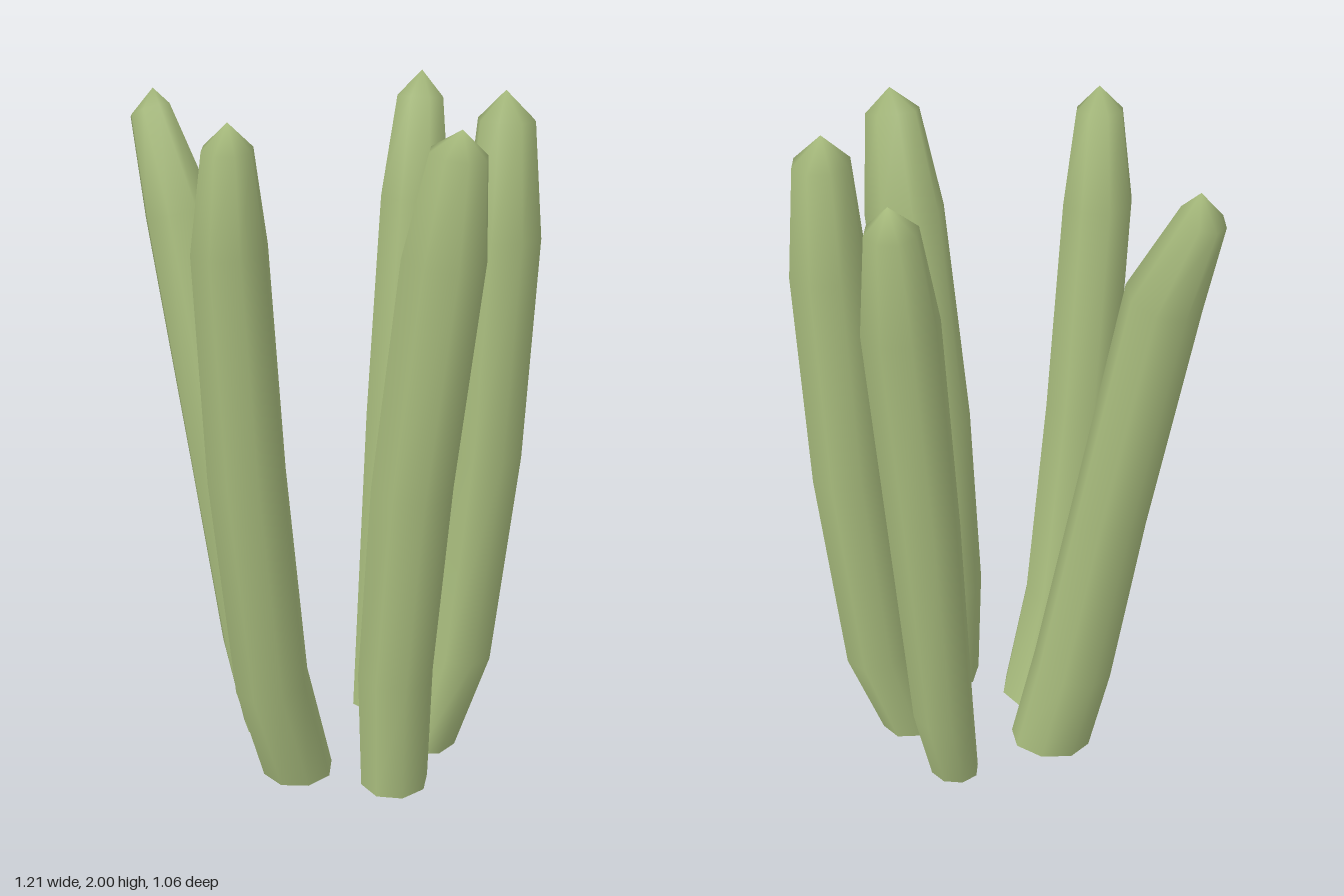
import * as THREE from 'three';

const SIDES = 8;

// Each stalk: rings of [y, x, z, radiusX, radiusZ] from base to shoulder, then the tip point
const STALKS = [
  { name: 'leaningStalk', phase: 0, tip: [1.96, -0.535, -0.13], rings: [
    [0, -0.135, -0.03, 0.125, 0.1], [0.3, -0.2, -0.02, 0.12, 0.11], [0.88, -0.3, -0.02, 0.11, 0.105],
    [1.62, -0.44, -0.065, 0.105, 0.1], [1.895, -0.545, -0.13, 0.06, 0.056]] },
  { name: 'frontStalk', phase: 0.2, tip: [1.99, -0.13, 0.45], rings: [
    [0, -0.02, 0.205, 0.105, 0.115], [0.34, -0.07, 0.305, 0.107, 0.115], [1, -0.115, 0.375, 0.112, 0.112],
    [1.65, -0.14, 0.42, 0.105, 0.11], [1.92, -0.133, 0.445, 0.07, 0.07]] },
  { name: 'backStalk', phase: 0.2, tip: [1.985, 0.18, -0.48], rings: [
    [0, 0.11, -0.255, 0.075, 0.068], [0.28, 0.125, -0.31, 0.092, 0.092], [0.95, 0.148, -0.365, 0.104, 0.1],
    [1.62, 0.178, -0.42, 0.109, 0.104], [1.91, 0.18, -0.46, 0.073, 0.069]] },
  { name: 'frontLeftStalk', phase: 0.3, tip: [1.975, 0.45, 0.315], rings: [
    [0, 0.275, 0.2, 0.1, 0.113], [0.36, 0.275, 0.205, 0.112, 0.115], [0.95, 0.32, 0.23, 0.12, 0.112],
    [1.62, 0.403, 0.275, 0.12, 0.1], [1.91, 0.44, 0.305, 0.08, 0.068]] },
  { name: 'backLeftStalk', phase: 0.1, tip: [2, 0.487, -0.13], rings: [
    [0, 0.32, -0.06, 0.088, 0.102], [0.3, 0.395, -0.103, 0.107, 0.117], [0.95, 0.46, -0.118, 0.112, 0.12],
    [1.6, 0.492, -0.115, 0.112, 0.118], [1.92, 0.492, -0.125, 0.082, 0.085]] },
];

function stalkGeometry({ rings, tip, phase }) {
  const pos = [], index = [];
  const last = rings.length - 1;

  // Rings stay square to the stalk's lean, except the flat base
  rings.forEach(([y, x, z, rx, rz], i) => {
    const a = rings[Math.max(i - 1, 0)];
    const b = rings[Math.min(i + 1, last)];
    const sx = i ? (b[1] - a[1]) / (b[0] - a[0]) : 0;
    const sz = i ? (b[2] - a[2]) / (b[0] - a[0]) : 0;
    for (let j = 0; j < SIDES; j++) {
      const t = phase + (j / SIDES) * Math.PI * 2;
      const dx = Math.cos(t) * rx, dz = Math.sin(t) * rz;
      pos.push(x + dx, y - sx * dx - sz * dz, z + dz);
    }
  });
  const tipId = pos.length / 3;
  pos.push(tip[1], tip[0], tip[2]);

  // Side walls and pointed crown
  for (let j = 0; j < SIDES; j++) {
    const k = (j + 1) % SIDES;
    for (let i = 0; i < last; i++) {
      const a = i * SIDES + j, b = i * SIDES + k;
      index.push(a, a + SIDES, b, b, a + SIDES, b + SIDES);
    }
    index.push(last * SIDES + j, tipId, last * SIDES + k);
  }

  // Base cap with its own corners, so its edge stays sharp
  const cap = pos.length / 3;
  pos.push(...pos.slice(0, SIDES * 3));
  for (let j = 1; j < SIDES - 1; j++) index.push(cap, cap + j, cap + j + 1);

  const geo = new THREE.BufferGeometry();
  geo.setAttribute('position', new THREE.Float32BufferAttribute(pos, 3));
  geo.setIndex(index);
  geo.computeVertexNormals();
  return geo;
}

export function createModel() {
  const group = new THREE.Group();
  group.name = 'stalkCluster';
  const green = new THREE.MeshStandardMaterial({ color: 0xa9bd7e });
  for (const stalk of STALKS) {
    const mesh = new THREE.Mesh(stalkGeometry(stalk), green);
    mesh.name = stalk.name;
    group.add(mesh);
  }
  return group;
}
